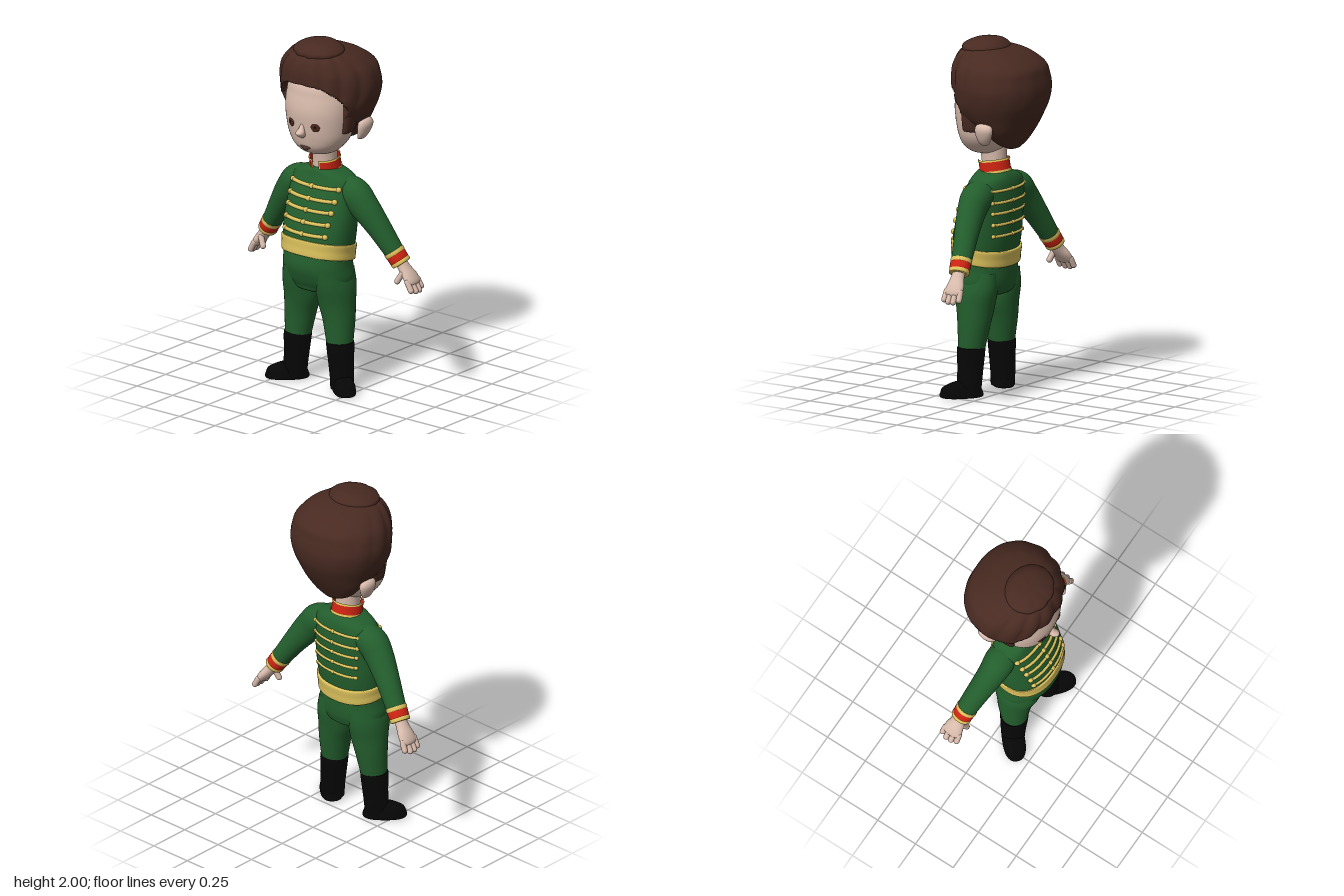
import * as THREE from 'three';

const mat = (name, color, side = THREE.FrontSide) =>
  Object.assign(new THREE.MeshStandardMaterial({ color, side }), { name });

const V = (x, y, z) => new THREE.Vector3(x, y, z);
const spow = (v, e) => Math.sign(v) * Math.abs(v) ** e;
const smooth = THREE.MathUtils.smoothstep;

// Smooth skin over rows of [x, y, z, radiusX, radiusZ]; rings lie flat or follow the path
function loft(rows, { n = 36, sub = 8, e = 1, flat = true, warp } = {}) {
  const path = new THREE.CatmullRomCurve3(rows.map(r => V(r[0], r[1], r[2])), false, 'catmullrom');
  const radii = new THREE.CatmullRomCurve3(rows.map(r => V(r[3], r[4], 0)), false, 'catmullrom');
  const steps = (rows.length - 1) * sub, pos = [], idx = [];
  for (let i = 0; i <= steps; i++) {
    const c = path.getPoint(i / steps), r = radii.getPoint(i / steps);
    let T = path.getTangent(i / steps);
    if (flat) T = V(0, Math.sign(T.y) || 1, 0);
    const v = V(0, 0, 1).addScaledVector(T, -T.z).normalize();
    const u = T.clone().cross(v);
    for (let j = 0; j < n; j++) {
      const a = j / n * Math.PI * 2;
      const p = c.clone()
        .addScaledVector(u, Math.max(0, r.x) * spow(Math.cos(a), e))
        .addScaledVector(v, Math.max(0, r.y) * spow(Math.sin(a), e));
      if (warp) warp(p, a, c);
      pos.push(p.x, p.y, p.z);
      if (i < steps) {
        const A = i * n + j, B = i * n + (j + 1) % n;
        idx.push(A, A + n, B, B, A + n, B + n);
      }
    }
  }
  const g = new THREE.BufferGeometry();
  g.setAttribute('position', new THREE.Float32BufferAttribute(pos, 3));
  g.setIndex(idx);
  g.computeVertexNormals();
  return g;
}

export function createModel() {
  const skin = mat('skin', 0xd8bbac), hairMat = mat('hair brown', 0x482a21, THREE.DoubleSide);
  const green = mat('uniform green', 0x235e2d), gold = mat('gold', 0xdcc25c, THREE.DoubleSide);
  const red = mat('red', 0xcf2412, THREE.DoubleSide), black = mat('boot black', 0x060606);
  const eyeMat = mat('eye brown', 0x4a261d), lipMat = mat('mouth', 0x5c3a34);

  const root = new THREE.Group();
  const add = (name, geo, m, parent = root) => {
    const mesh = new THREE.Mesh(geo, m);
    mesh.name = name;
    parent.add(mesh);
    return mesh;
  };
  const ball = (name, m, [x, y, z], [sx, sy, sz], ry = 0) => {
    const b = add(name, new THREE.SphereGeometry(1, 20, 14), m);
    b.position.set(x, y, z);
    b.scale.set(sx, sy, sz);
    b.rotation.y = ry;
    return b;
  };
  const capsule = (name, m, a, b, r) => {
    const d = b.clone().sub(a);
    const c = add(name, new THREE.CapsuleGeometry(r, d.length(), 6, 12), m);
    c.position.copy(a).add(b).multiplyScalar(0.5);
    c.quaternion.setFromUnitVectors(V(0, 1, 0), d.normalize());
  };

  // Coat
  const coatRows = [
    [0, 0.78, 0.09, 0.203, 0.16], [0, 0.88, 0.08, 0.213, 0.165], [0, 0.98, 0.065, 0.217, 0.155],
    [0, 1.08, 0.045, 0.213, 0.14], [0, 1.16, 0.03, 0.208, 0.12], [0, 1.215, 0.025, 0.183, 0.105],
    [0, 1.25, 0.03, 0.1, 0.09], [0, 1.262, 0.03, 0.065, 0.07]];
  const coatE = 0.88;
  add('coat', loft(coatRows, { n: 48, e: coatE }), green);
  const coatZ = (x, y, side) => {
    const i = coatRows.findIndex(r => r[1] > y), a = coatRows[i - 1], b = coatRows[i];
    const f = (y - a[1]) / (b[1] - a[1]), q = k => a[k] + (b[k] - a[k]) * f;
    return q(2) + side * q(4) * (1 - (Math.abs(x) / q(3)) ** (2 / coatE)) ** (coatE / 2);
  };

  // Belt, higher at the front
  add('belt', loft([
    [0, 0.757, 0.09, 0.195, 0.155], [0, 0.759, 0.09, 0.211, 0.169], [0, 0.8, 0.087, 0.213, 0.17],
    [0, 0.843, 0.084, 0.217, 0.171], [0, 0.845, 0.084, 0.2, 0.155]],
    { n: 48, e: coatE, warp: p => { p.y += 0.19 * (p.z - 0.08); } }), gold);

  // Braid and buttons, front and back
  [1.165, 1.1, 1.04, 0.975, 0.91].forEach((y, k) => {
    const w = 0.16 - 0.005 * k;
    for (const side of [1, -1]) {
      const at = x => V(x, y, coatZ(x, y, side));
      const pts = Array.from({ length: 13 }, (_, i) => at(w * (i / 6 - 1)));
      const tag = side > 0 ? 'front' : 'back', r = side > 0 ? 0.016 : 0.012;
      add(tag + 'Braid', new THREE.TubeGeometry(new THREE.CatmullRomCurve3(pts), 36, side > 0 ? 0.011 : 0.008, 8), gold);
      for (const x of [-w, 0, w]) ball(tag + 'Button', gold, at(x).toArray(), [r, r, r]);
    }
  });

  // Trousers
  add('trouserSeat', loft([
    [0, 0.82, 0.088, 0.2, 0.155], [0, 0.72, 0.093, 0.205, 0.16], [0, 0.65, 0.085, 0.212, 0.15],
    [0, 0.6, 0.078, 0.195, 0.133], [0, 0.565, 0.077, 0.13, 0.108], [0, 0.54, 0.075, 0, 0]],
    { n: 48, e: 0.92 }), green);

  // Neck and collar, open at the throat
  add('neck', loft([[0, 1.22, 0.03, 0.07, 0.072], [0, 1.3, 0.032, 0.068, 0.07], [0, 1.42, 0.04, 0.075, 0.08]]), skin);
  const collar = new THREE.Group();
  collar.name = 'collar';
  collar.position.set(0, 1.281, 0.03);
  collar.rotation.x = 0.15;
  root.add(collar);
  const band = (name, r, h, y, m, start = 0.24, len = Math.PI * 2 - 0.48) => {
    add(name, new THREE.CylinderGeometry(r, r + 0.002, h, 40, 1, true, start, len), m, collar).position.y = y;
  };
  band('collarBand', 0.085, 0.07, 0, red);
  band('collarTopTrim', 0.088, 0.011, 0.033, gold);
  band('collarBottomTrim', 0.09, 0.013, -0.03, gold);
  for (const s of [0.24, -0.32]) band('collarEdgeTrim', 0.088, 0.07, 0, gold, s, 0.08);

  // Head
  add('head', loft([
    [0, 1.345, 0.08, 0, 0], [0, 1.36, 0.08, 0.085, 0.08], [0, 1.4, 0.08, 0.14, 0.125],
    [0, 1.46, 0.072, 0.18, 0.153], [0, 1.54, 0.073, 0.196, 0.165], [0, 1.62, 0.07, 0.203, 0.175],
    [0, 1.7, 0.06, 0.2, 0.175], [0, 1.78, 0.05, 0.18, 0.165], [0, 1.88, 0.03, 0.1, 0.1]], { n: 48, e: 0.95 }), skin);
  add('nose', loft([
    [0, 1.56, 0.225, 0.008, 0.008], [0, 1.525, 0.238, 0.016, 0.018], [0, 1.502, 0.25, 0.024, 0.031],
    [0, 1.48, 0.238, 0.02, 0.022], [0, 1.465, 0.228, 0, 0]], { n: 20 }), skin);
  ball('upperLip', skin, [0, 1.432, 0.2], [0.04, 0.012, 0.016]);
  ball('mouth', lipMat, [0, 1.41, 0.206], [0.036, 0.012, 0.009]);
  ball('mouthCorner', lipMat, [0, 1.401, 0.204], [0.02, 0.013, 0.009]);

  // Hair: swept-up locks, held back behind the hairline below the forehead
  add('hair', loft([
    [0, 1.395, -0.1, 0.05, 0.02], [0, 1.43, -0.085, 0.125, 0.06], [0, 1.5, -0.065, 0.19, 0.125],
    [0, 1.57, -0.015, 0.237, 0.215], [0, 1.65, -0.006, 0.272, 0.258], [0, 1.73, -0.012, 0.289, 0.262],
    [0, 1.8, -0.005, 0.284, 0.258], [0, 1.86, 0.004, 0.262, 0.246], [0, 1.915, 0.03, 0.21, 0.197],
    [0, 1.945, 0.055, 0.15, 0.135], [0, 1.957, 0.065, 0.08, 0.07], [0, 1.96, 0.065, 0, 0]], {
    n: 126, sub: 10, e: 0.9,
    warp: (p, a, c) => {
      const front = Math.max(0, Math.sin(a));
      const lock = Math.abs(Math.cos(7 * a + 3.5 * (p.y - 1.75))) - 0.7;
      const wave = 0.05 * (0.15 + 0.85 * smooth(Math.sin(a), -0.5, 0.5)) * lock * smooth(p.y, 1.58, 1.78);
      p.x *= (1 - 0.12 * front) * (1 + wave);
      p.z = c.z + (p.z - c.z) * (1 + wave);
      const line = 1.78 - 40 * p.x ** 4;
      p.z = Math.min(p.z, 0.115 + 0.2 * smooth(p.y, line - 0.025, line + 0.012));
    } }), hairMat);
  add('quiff', loft([
    [0, 1.9, 0.085, 0.13, 0.115], [0, 1.945, 0.085, 0.148, 0.13], [0, 1.97, 0.08, 0.128, 0.113],
    [0, 1.993, 0.07, 0.075, 0.07], [0, 2, 0.065, 0, 0]],
    { n: 84, warp: (p, a) => {
      const lock = 1 + 0.05 * (Math.abs(Math.cos(5 * a)) - 0.7) * Math.max(0, Math.sin(a));
      p.x *= lock;
      p.z = 0.08 + (p.z - 0.08) * lock;
    } }), hairMat);

  for (const s of [1, -1]) {
    const tag = s > 0 ? 'left' : 'right';
    const rows = list => list.map(([x, ...rest]) => [s * x, ...rest]);

    // Face details
    ball(tag + 'Eye', eyeMat, [s * 0.084, 1.545, 0.222], [0.027, 0.028, 0.008], s * 0.38);
    ball(tag + 'Pupil', black, [s * 0.085, 1.545, 0.2265], [0.009, 0.01, 0.005], s * 0.38);
    add(tag + 'Ear', loft(rows([
      [0.19, 1.43, -0.035, 0, 0], [0.2, 1.44, -0.036, 0.016, 0.025], [0.213, 1.475, -0.042, 0.027, 0.045],
      [0.222, 1.52, -0.047, 0.032, 0.056], [0.222, 1.55, -0.047, 0.024, 0.044], [0.22, 1.565, -0.045, 0, 0]]), { n: 24 }), skin);
    add(tag + 'Sideburn', loft(rows([
      [0.178, 1.495, 0.068, 0.014, 0.035], [0.184, 1.505, 0.066, 0.025, 0.045],
      [0.19, 1.57, 0.056, 0.032, 0.058], [0.194, 1.7, 0.05, 0.045, 0.065]]), { n: 24, e: 0.7 }), hairMat);

    // Sleeve and cuff
    add(tag + 'Sleeve', loft(rows([
      [0.06, 1.165, 0.02, 0.055, 0.07], [0.185, 1.135, 0.018, 0.088, 0.086], [0.255, 1.068, 0.01, 0.086, 0.078],
      [0.335, 0.965, -0.012, 0.07, 0.068], [0.4, 0.87, -0.032, 0.059, 0.061], [0.462, 0.778, -0.05, 0.05, 0.054]]),
      { flat: false }), green);
    const cuffAt = (t, r) => [0.426 + 0.046 * t, 0.831 - 0.068 * t, -0.039 - 0.013 * t, 0.055 + r - 0.004 * t, 0.059 + r - 0.004 * t];
    const cuff = (name, a, b, m, r) => add(tag + name,
      loft(rows([cuffAt(a, r - 0.008), cuffAt(a + 0.01, r), cuffAt(b - 0.01, r), cuffAt(b, r - 0.012)]), { flat: false, sub: 3 }), m);
    cuff('CuffUpperTrim', 0, 0.28, gold, 0.002);
    cuff('CuffBand', 0.22, 0.8, red, 0.001);
    cuff('CuffLowerTrim', 0.76, 1.02, gold, 0.002);

    // Hand
    add(tag + 'Palm', loft(rows([
      [0.45, 0.8, -0.048, 0.03, 0.034], [0.49, 0.74, -0.055, 0.03, 0.04], [0.525, 0.695, -0.062, 0.029, 0.054],
      [0.55, 0.66, -0.063, 0.021, 0.052], [0.558, 0.645, -0.063, 0, 0]]), { flat: false, n: 24 }), skin);
    for (let i = 0; i < 4; i++) {
      const z = -0.108 + 0.03 * i, drop = [0.012, 0, 0, 0.008][i];
      capsule(tag + 'Finger', skin, V(s * 0.54, 0.675, z), V(s * (0.573 - drop), 0.622 + drop, z * 1.05), 0.0165);
    }
    capsule(tag + 'Thumb', skin, V(s * 0.498, 0.715, -0.025), V(s * 0.474, 0.668, -0.012), 0.0165);

    // Leg
    add(tag + 'TrouserLeg', loft(rows([
      [0.11, 0.7, 0.09, 0.085, 0.14], [0.114, 0.6, 0.081, 0.104, 0.131], [0.119, 0.5, 0.077, 0.104, 0.108],
      [0.134, 0.4, 0.077, 0.09, 0.092], [0.147, 0.26, 0.085, 0.073, 0.074]])), green);

    // Boot with the foot turned outward
    add(tag + 'BootShaft', loft(rows([
      [0.149, 0.273, 0.085, 0.06, 0.06], [0.149, 0.271, 0.085, 0.077, 0.078], [0.156, 0.16, 0.086, 0.07, 0.073],
      [0.163, 0.08, 0.087, 0.066, 0.07], [0.165, 0.01, 0.088, 0.064, 0.066]])), black);
    const foot = add(tag + 'BootFoot', loft([
      [0, 0, 0, 0, 0], [0, 0.001, 0, 0.113, 0.058], [0, 0.035, 0, 0.116, 0.06],
      [0, 0.06, 0, 0.1, 0.052], [-0.02, 0.085, 0, 0.06, 0.035], [-0.03, 0.095, 0, 0, 0]], { e: 0.8 }), black);
    foot.position.set(s * 0.2, 0, 0.115);
    foot.rotation.y = s > 0 ? -0.74 : Math.PI + 0.74;
  }
  return root;
}
